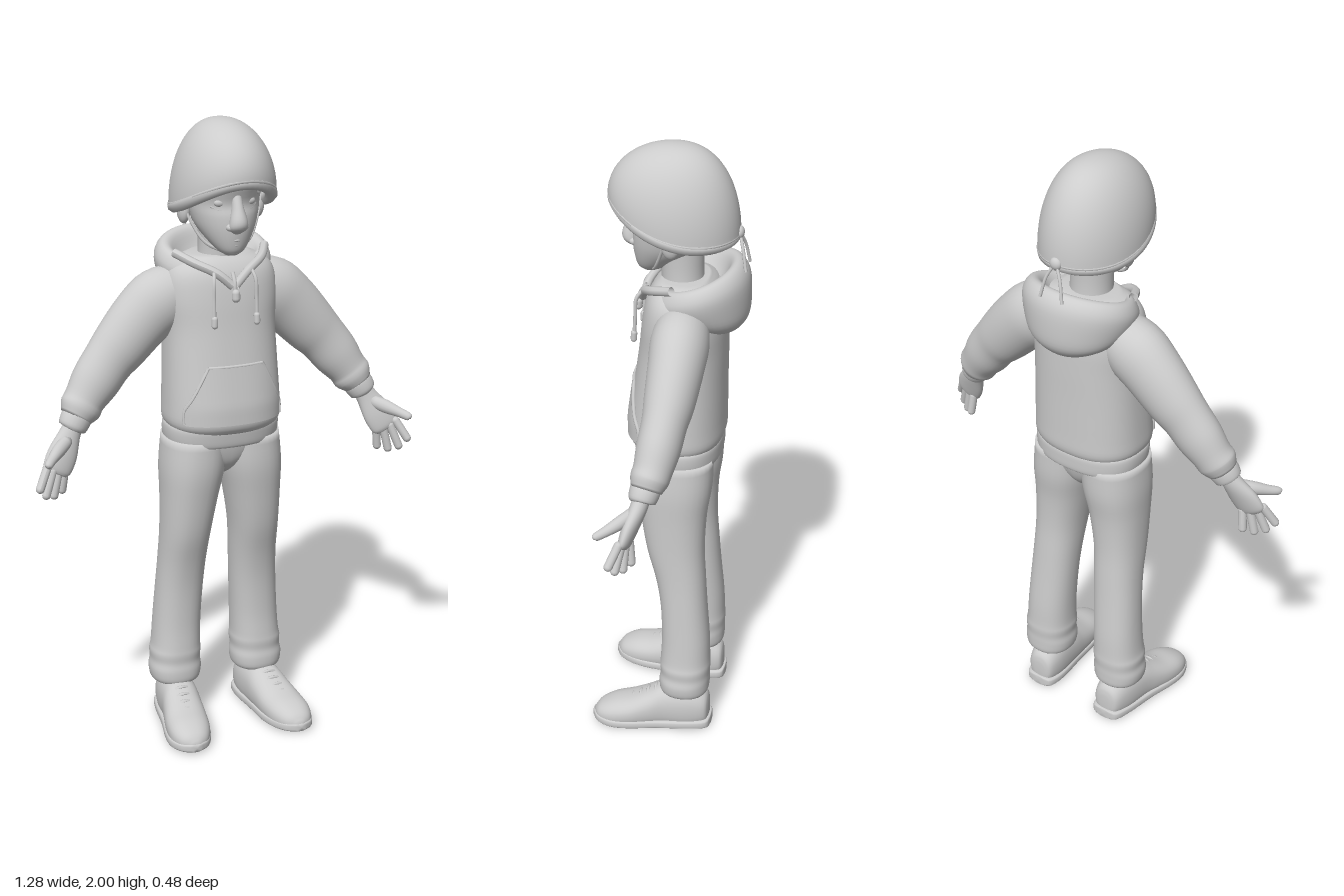
import * as THREE from 'three';
import { mergeVertices } from 'three/addons/utils/BufferGeometryUtils.js';

const V = (x, y, z) => new THREE.Vector3(x, y, z);
const grey = new THREE.MeshStandardMaterial({ color: 0xcccccc, side: THREE.DoubleSide });
grey.name = 'light grey';

// Smooth skin over elliptical sections; each row is [x, y, z, radiusU, radiusW].
// With an axis all sections are parallel, otherwise they follow the path.
function loft(rows, { axis = null, ref = V(0, 0, 1), n = 32, p = 2, sub = 4 } = {}) {
  const path = new THREE.CatmullRomCurve3(rows.map(r => V(r[0], r[1], r[2])), false, 'catmullrom');
  const size = new THREE.CatmullRomCurve3(rows.map(r => V(r[3], r[4], 0)), false, 'catmullrom');
  const steps = (rows.length - 1) * sub, pos = [], idx = [];
  const sq = v => Math.sign(v) * Math.abs(v) ** (2 / p);
  for (let i = 0; i <= steps; i++) {
    const c = path.getPoint(i / steps), s = size.getPoint(i / steps);
    const t = axis ?? path.getTangent(i / steps);
    const w = ref.clone().addScaledVector(t, -ref.dot(t)).normalize();
    const u = t.clone().cross(w);
    for (let j = 0; j < n; j++) {
      const a = j / n * Math.PI * 2;
      const q = c.clone().addScaledVector(u, sq(Math.cos(a)) * Math.max(s.x, 0.001))
        .addScaledVector(w, sq(Math.sin(a)) * Math.max(s.y, 0.001));
      pos.push(q.x, q.y, q.z);
      if (i < steps) {
        const A = i * n + j, B = i * n + (j + 1) % n;
        idx.push(A, A + n, B, B, A + n, B + n);
      }
    }
  }
  for (const [row, flip] of [[0, false], [steps, true]]) {
    const c = path.getPoint(row / steps), k = pos.length / 3;
    pos.push(c.x, c.y, c.z);
    for (let j = 0; j < n; j++) {
      const A = row * n + j, B = row * n + (j + 1) % n;
      idx.push(k, flip ? B : A, flip ? A : B);
    }
  }
  const g = new THREE.BufferGeometry();
  g.setAttribute('position', new THREE.Float32BufferAttribute(pos, 3));
  g.setIndex(idx);
  g.computeVertexNormals();
  return g;
}

// Move every vertex by a rule and rebuild smooth normals
function bend(g, rule) {
  g.deleteAttribute('uv');
  g.deleteAttribute('normal');
  g = mergeVertices(g, 1e-5);
  const a = g.attributes.position, v = V(0, 0, 0);
  for (let i = 0; i < a.count; i++) {
    rule(v.fromBufferAttribute(a, i));
    a.setXYZ(i, v.x, v.y, v.z);
  }
  g.computeVertexNormals();
  return g;
}

const tube = (pts, r, closed = false, seg = 24) =>
  new THREE.TubeGeometry(new THREE.CatmullRomCurve3(pts.map(q => V(...q)), closed), seg, r, 8, closed);
const ball = (x, y, z, rx, ry, rz) => new THREE.SphereGeometry(1, 20, 14).scale(rx, ry, rz).translate(x, y, z);
function capsule(a, b, r) {
  const d = V(...b).sub(V(...a)), len = d.length(), g = new THREE.CapsuleGeometry(r, len, 6, 12);
  g.applyQuaternion(new THREE.Quaternion().setFromUnitVectors(V(0, 1, 0), d.normalize()));
  return g.translate((a[0] + b[0]) / 2, (a[1] + b[1]) / 2, (a[2] + b[2]) / 2);
}
function mirrored(g) {
  const m = g.clone().scale(-1, 1, 1), ix = m.index.array;
  for (let i = 0; i < ix.length; i += 3) [ix[i], ix[i + 1]] = [ix[i + 1], ix[i]];
  m.computeVertexNormals();
  return m;
}

export function createModel() {
  const model = new THREE.Group();
  model.name = 'childInHelmet';
  const Y = V(0, 1, 0), Z = V(0, 0, 1);
  const add = (name, g) => {
    const m = new THREE.Mesh(g, grey);
    m.name = name;
    model.add(m);
  };
  const pair = (name, g) => { add(name + 'Left', g); add(name + 'Right', mirrored(g)); };

  // Helmet: half dome with a rim that rises at the front
  const rimY = c => 1.75 + 0.055 * c + 0.035 * c * c;
  add('helmet', bend(new THREE.SphereGeometry(1, 48, 24, 0, Math.PI * 2, 0, Math.PI / 2), v => {
    const r = Math.hypot(v.x, v.z), c = r > 1e-4 ? v.z / r : 0, s = r > 1e-4 ? v.x / r : 0;
    const k = r ** (0.9 + 0.1 * c), b = rimY(c);
    v.set(0.159 * s * k, b + (2 - b) * v.y, 0.2 * c * k);
  }));
  const ringAt = (k, drop) => Array.from({ length: 24 }, (_, i) => {
    const a = i / 24 * Math.PI * 2, c = Math.cos(a);
    return [0.159 * k * Math.sin(a), rimY(c) - drop, 0.2 * k * c];
  });
  add('helmetRim', tube(ringAt(0.975, 0), 0.006, true, 64));
  add('helmetLining', tube(ringAt(0.9, 0.008), 0.02, true, 64));
  add('strapKnob', ball(0, 1.735, -0.198, 0.02, 0.02, 0.014));
  pair('strapTail', tube([[0.005, 1.73, -0.2], [0.025, 1.69, -0.212], [0.04, 1.625, -0.224]], 0.005));
  pair('chinStrap', tube([[0.13, 1.75, 0.0], [0.108, 1.69, 0.02], [0.072, 1.63, 0.045], [0, 1.594, 0.07]], 0.005));

  // Head and face
  add('head', loft([[0, 1.595, 0.075, 0.02, 0.02], [0, 1.61, 0.067, 0.042, 0.045], [0, 1.64, 0.047, 0.067, 0.074],
    [0, 1.68, 0.02, 0.092, 0.106], [0, 1.72, 0.007, 0.106, 0.118], [0, 1.76, 0, 0.114, 0.119],
    [0, 1.83, 0, 0.122, 0.14], [0, 1.9, 0, 0.1, 0.12]], { axis: Y }));
  add('neck', loft([[0, 1.5, -0.03, 0.075, 0.07], [0, 1.6, -0.025, 0.066, 0.065], [0, 1.72, -0.02, 0.07, 0.075]], { axis: Y }));
  add('nose', loft([[0, 1.8, 0.108, 0.014, 0.012], [0, 1.75, 0.122, 0.018, 0.022], [0, 1.71, 0.132, 0.027, 0.028],
    [0, 1.685, 0.128, 0.028, 0.026], [0, 1.667, 0.112, 0.014, 0.014]], { axis: Y, n: 20 }));
  pair('nostril', ball(0.022, 1.688, 0.119, 0.014, 0.012, 0.016));
  pair('eye', ball(0.046, 1.762, 0.098, 0.021, 0.014, 0.013));
  pair('eyebrow', tube([[0.018, 1.785, 0.116], [0.048, 1.795, 0.107], [0.08, 1.783, 0.087]], 0.008));
  pair('eyeBag', tube([[0.024, 1.745, 0.111], [0.048, 1.739, 0.103], [0.072, 1.75, 0.086]], 0.005));
  add('upperLip', tube([[-0.034, 1.641, 0.099], [0, 1.647, 0.119], [0.034, 1.641, 0.099]], 0.005));
  add('lowerLip', tube([[-0.03, 1.636, 0.097], [0, 1.632, 0.114], [0.03, 1.636, 0.097]], 0.006));
  add('chin', ball(0, 1.613, 0.09, 0.028, 0.018, 0.02));
  pair('ear', ball(0.122, 1.725, -0.012, 0.02, 0.042, 0.028));

  // Sweatshirt body with ribbed hem
  const P = 2.4;
  add('sweatshirt', loft([[0, 1.03, -0.015, 0.17, 0.135], [0, 1.06, -0.014, 0.187, 0.15], [0, 1.12, -0.015, 0.187, 0.15],
    [0, 1.25, -0.024, 0.182, 0.141], [0, 1.36, -0.032, 0.179, 0.134], [0, 1.45, -0.036, 0.186, 0.128],
    [0, 1.52, -0.036, 0.178, 0.115], [0, 1.56, -0.036, 0.15, 0.095], [0, 1.585, -0.036, 0.09, 0.07]], { axis: Y, n: 48, p: P }));
  add('hem', loft([[0, 0.98, -0.022, 0.165, 0.12], [0, 0.985, -0.022, 0.18, 0.133], [0, 1.015, -0.02, 0.186, 0.138],
    [0, 1.045, -0.018, 0.184, 0.138], [0, 1.05, -0.018, 0.17, 0.12]], { axis: Y, n: 48, p: P }));

  // Front pocket wrapped on the belly
  const belly = (x, y) => {
    const k = THREE.MathUtils.clamp((y - 1.12) / 0.13, 0, 1);
    return -0.015 - 0.009 * k + (0.15 - 0.009 * k) * (1 - Math.abs(x / 0.188) ** P) ** (1 / P);
  };
  const pocketHalf = y => 0.09 + 0.07 * THREE.MathUtils.clamp((1.25 - y) / 0.14, 0, 1);
  add('pocket', bend(new THREE.PlaneGeometry(2, 1, 24, 12), v => {
    const y = 1.158 + v.y * 0.185, x = v.x * pocketHalf(y);
    v.set(x, y, belly(x, y) + 0.007);
  }));
  pair('pocketEdge', tube([1.25, 1.2, 1.15, 1.11, 1.07].map(y => [pocketHalf(y), y, belly(pocketHalf(y), y) + 0.003]), 0.006));
  add('pocketTop', tube([-0.09, -0.045, 0, 0.045, 0.09].map(x => [x, 1.25, belly(x, 1.25) + 0.003]), 0.005));

  // Lowered hood: pouch folded in at the top, dipping to a V at the throat
  add('hood', bend(loft([[0, 1.415, -0.15, 0.02, 0.015], [0, 1.43, -0.142, 0.08, 0.06], [0, 1.465, -0.115, 0.142, 0.114],
    [0, 1.51, -0.086, 0.176, 0.15], [0, 1.56, -0.08, 0.187, 0.15], [0, 1.598, -0.074, 0.17, 0.128],
    [0, 1.6, -0.068, 0.142, 0.108], [0, 1.56, -0.06, 0.11, 0.095], [0, 1.53, -0.05, 0.08, 0.08]], { axis: Y, n: 48 }), v => {
    const k = THREE.MathUtils.smoothstep(v.y, 1.46, 1.6);
    v.y -= k * (v.z + 0.08) * 0.32;
    if (v.z > 0) {
      const f = Math.exp(-((v.x / 0.06) ** 2)) * Math.min(1, v.z / 0.05);
      v.y -= 0.045 * f * k;
      v.z += 0.015 * f;
    }
  }));
  pair('collarEdge', tube([[0.004, 1.5, 0.098], [0.05, 1.54, 0.084], [0.11, 1.57, 0.045], [0.15, 1.592, -0.02]], 0.014));
  pair('drawstring', tube([[0.06, 1.55, 0.083], [0.068, 1.52, 0.104], [0.07, 1.46, 0.108], [0.07, 1.38, 0.112]], 0.006));
  pair('stringEnd', capsule([0.07, 1.405, 0.112], [0.07, 1.385, 0.113], 0.01));
  add('zip', tube([[0, 1.54, 0.085], [0, 1.51, 0.103], [0, 1.475, 0.106]], 0.007));
  add('zipPull', capsule([0, 1.48, 0.112], [0, 1.465, 0.113], 0.013));

  // Sleeves with soft folds, cuffs and hands
  pair('sleeve', loft([[0.1, 1.478, -0.05, 0.075, 0.075], [0.18, 1.442, -0.053, 0.103, 0.088], [0.245, 1.39, -0.053, 0.1, 0.084],
    [0.32, 1.31, -0.048, 0.091, 0.076], [0.365, 1.262, -0.042, 0.082, 0.068], [0.41, 1.205, -0.034, 0.078, 0.066],
    [0.448, 1.155, -0.025, 0.066, 0.059], [0.465, 1.13, -0.018, 0.066, 0.058], [0.482, 1.105, -0.012, 0.05, 0.047]]));
  pair('cuff', loft([[0.474, 1.115, -0.013, 0.04, 0.04], [0.48, 1.106, -0.01, 0.049, 0.046], [0.497, 1.078, -0.003, 0.045, 0.042],
    [0.5, 1.073, -0.002, 0.03, 0.03]], { n: 24 }));
  pair('palm', loft([[0.49, 1.09, -0.003, 0.03, 0.026], [0.51, 1.055, 0.006, 0.036, 0.026], [0.538, 1.005, 0.024, 0.049, 0.024],
    [0.56, 0.965, 0.036, 0.048, 0.019], [0.568, 0.95, 0.04, 0.036, 0.012]], { n: 24 }));
  [[[0.596, 0.975, 0.048], [0.627, 0.918, 0.072]], [[0.578, 0.96, 0.044], [0.604, 0.89, 0.058]],
    [[0.557, 0.952, 0.036], [0.574, 0.88, 0.04]], [[0.535, 0.95, 0.028], [0.543, 0.888, 0.022]]]
    .forEach(([a, b], i) => pair('finger' + (i + 1), capsule(a, b, 0.0135)));
  pair('thumb', loft([[0.52, 1.045, 0.02, 0.02, 0.018], [0.555, 1.03, 0.05, 0.022, 0.02], [0.588, 1.016, 0.085, 0.016, 0.016],
    [0.61, 1.006, 0.112, 0.013, 0.012], [0.615, 1.002, 0.118, 0.003, 0.003]], { n: 16 }));

  // Trousers: seat and legs with bunching above the shoes
  add('trouserSeat', loft([[0, 0.87, -0.02, 0.008, 0.04], [0, 0.89, -0.02, 0.03, 0.07], [0, 0.92, -0.02, 0.07, 0.095],
    [0, 0.96, -0.021, 0.13, 0.11], [0, 1.01, -0.022, 0.18, 0.12]], { axis: Y, p: 2.3 }));
  pair('trouserLeg', loft([[0.09, 1.0, -0.021, 0.1, 0.121], [0.098, 0.9, -0.02, 0.101, 0.12], [0.108, 0.8, -0.02, 0.09, 0.106],
    [0.118, 0.68, -0.028, 0.08, 0.093], [0.124, 0.57, -0.046, 0.077, 0.081], [0.13, 0.47, -0.058, 0.077, 0.076],
    [0.137, 0.35, -0.066, 0.078, 0.078], [0.141, 0.27, -0.066, 0.08, 0.081], [0.143, 0.24, -0.066, 0.084, 0.083],
    [0.144, 0.21, -0.066, 0.082, 0.081], [0.145, 0.18, -0.064, 0.086, 0.083], [0.145, 0.145, -0.064, 0.08, 0.08],
    [0.145, 0.13, -0.064, 0.06, 0.06]], { axis: Y, p: 2.25 }));

  // Shoes: upper, flat sole and laces
  pair('shoe', bend(loft([[0.14, 0.06, -0.147, 0.02, 0.03], [0.141, 0.065, -0.135, 0.046, 0.06], [0.145, 0.07, -0.08, 0.06, 0.085],
    [0.152, 0.07, 0, 0.064, 0.082], [0.16, 0.06, 0.05, 0.068, 0.068], [0.17, 0.047, 0.11, 0.072, 0.055],
    [0.178, 0.038, 0.17, 0.067, 0.049], [0.182, 0.031, 0.215, 0.046, 0.034], [0.183, 0.025, 0.236, 0.014, 0.014]],
  { axis: Z, ref: Y, p: 2.3 }), v => { v.y = Math.max(v.y, 0.005); }));
  pair('sole', loft([[0.14, 0.018, -0.155, 0.02, 0.016], [0.141, 0.018, -0.142, 0.05, 0.018], [0.145, 0.018, -0.08, 0.064, 0.018],
    [0.157, 0.018, 0.02, 0.068, 0.018], [0.17, 0.018, 0.11, 0.076, 0.018], [0.179, 0.019, 0.17, 0.071, 0.018],
    [0.183, 0.021, 0.218, 0.048, 0.016], [0.184, 0.022, 0.24, 0.014, 0.012]], { axis: Z, ref: Y, p: 4 }));
  for (let i = 0; i < 4; i++) {
    const z = 0.025 + i * 0.025, x = 0.157 + i * 0.004, y = 0.14 - i * 0.013;
    pair('lace' + (i + 1), tube([[x - 0.042, y - 0.022, z], [x, y - 0.002, z + 0.006], [x + 0.042, y - 0.022, z]], 0.006));
  }
  return model;
}
